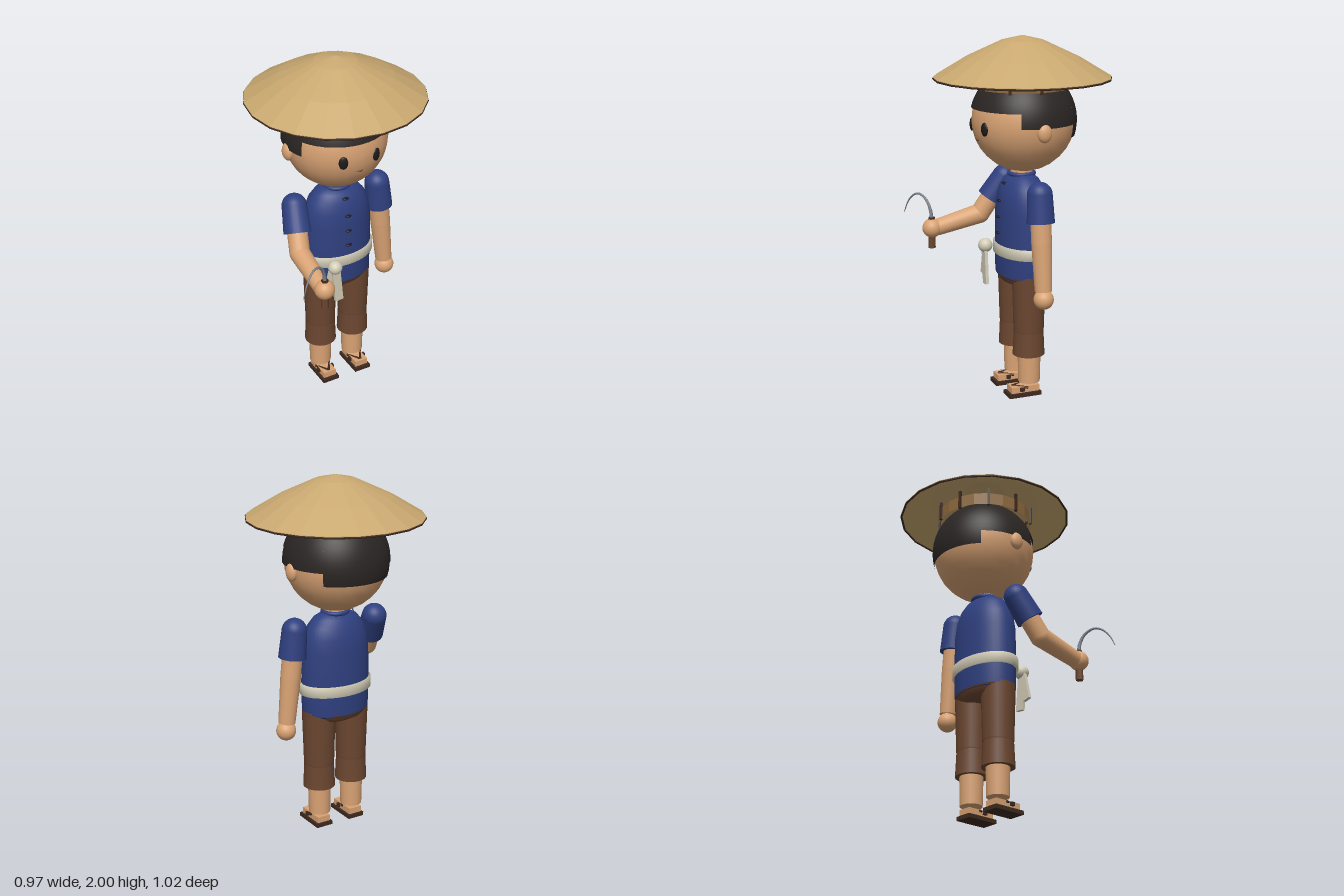
import * as THREE from 'three';

const mat = (color, extra = {}) => new THREE.MeshStandardMaterial({ color, ...extra });
const V = (x, y, z) => new THREE.Vector3(x, y, z);

const skin = mat(0xd9a374);
const hair = mat(0x2b2624, { side: THREE.DoubleSide });
const blue = mat(0x2f4080);
const brown = mat(0x6b4630);
const darkBrown = mat(0x3e2a20);
const straw = mat(0xc9a870, { flatShading: true });
const bandStraw = mat(0x8f6a3e, { flatShading: true, side: THREE.DoubleSide });
const cloth = mat(0xd2ccb6);
const black = mat(0x1c1a1a);
const steel = mat(0x7d838c);
const lipColor = mat(0x7a4636);

const CZ = -0.02; // body axis in z

export function createModel() {
  const model = new THREE.Group();
  model.name = 'farmer';

  const add = (name, geo, material, x = 0, y = 0, z = 0, parent = model) => {
    const m = new THREE.Mesh(geo, material);
    m.name = name;
    m.position.set(x, y, z);
    parent.add(m);
    return m;
  };
  const ball = (name, material, p, rx, ry = rx, rz = rx) => {
    const m = add(name, new THREE.SphereGeometry(1, 24, 16), material, p.x, p.y, p.z);
    m.scale.set(rx, ry, rz);
    return m;
  };
  const lathe = (pts, n = 32) => new THREE.LatheGeometry(pts.map(p => new THREE.Vector2(...p)), n);
  // tapered cylinder from a (radius ra) to b (radius rb)
  const limb = (name, material, a, b, ra, rb, sides = 24) => {
    const d = b.clone().sub(a);
    const mid = a.clone().lerp(b, 0.5);
    const m = add(name, new THREE.CylinderGeometry(rb, ra, d.length(), sides), material, mid.x, mid.y, mid.z);
    m.quaternion.setFromUnitVectors(V(0, 1, 0), d.normalize());
    return m;
  };

  // Hat: faceted cone with hollow underside, rim, head band and struts
  const hat = new THREE.Group();
  hat.name = 'hat';
  hat.position.z = -0.025;
  model.add(hat);
  add('hatCone', lathe([
    [0, 1.985], [0.11, 1.96], [0.31, 1.866], [0.482, 1.766],
    [0.482, 1.778], [0.31, 1.882], [0.115, 1.973], [0, 2]], 20), straw, 0, 0, 0, hat);
  add('hatRim', new THREE.TorusGeometry(0.479, 0.006, 6, 20), darkBrown, 0, 1.77, 0, hat).rotation.x = Math.PI / 2;
  add('hatBand', new THREE.CylinderGeometry(0.265, 0.265, 0.07, 20, 1, true), bandStraw, 0, 1.757, 0, hat);
  for (let i = 0; i < 10; i++) {
    const a = (i + 0.5) * Math.PI / 5;
    add('hatStrut', new THREE.BoxGeometry(0.014, 0.11, 0.014), darkBrown,
      0.268 * Math.sin(a), 1.768, 0.268 * Math.cos(a), hat).rotation.y = a;
  }

  // Head and face
  const head = V(0, 1.545, -0.03), R = 0.282;
  ball('head', skin, head, R);
  for (const s of [-1, 1]) {
    ball('ear', skin, V(s * 0.282, 1.51, -0.037), 0.028, 0.05, 0.04);
    const eye = ball('eye', black, V(s * 0.098, 1.52, 0.231), 0.025, 0.037, 0.012);
    eye.rotation.y = s * 0.36;
  }
  ball('mouth', lipColor, V(0, 1.45, 0.233), 0.018, 0.006, 0.008);

  // Hair: shell segments cut at different heights (angles measured from the front)
  const hairPart = (from, to, yCut) => {
    const r = 0.291, rad = Math.PI / 180;
    const theta = Math.acos((yCut - head.y) / r);
    add('hair', new THREE.SphereGeometry(r, 16, 16, (90 + from) * rad, (to - from) * rad, 0, theta),
      hair, head.x, head.y, head.z);
  };
  hairPart(-66, 66, 1.615);
  hairPart(66, 134, 1.535);
  hairPart(-134, -66, 1.535);
  hairPart(134, 226, 1.462);

  // Torso, collar, belt and pelvis share one oval section
  add('neck', new THREE.CylinderGeometry(0.06, 0.065, 0.12, 24), skin, 0, 1.25, CZ);
  const oval = (name, pts, material) => {
    add(name, lathe(pts, 40), material, 0, 0, CZ).scale.z = 0.68;
  };
  oval('shirt', [[0, 0.675], [0.19, 0.675], [0.2, 0.69], [0.203, 0.85], [0.2, 1.04], [0.188, 1.12],
    [0.165, 1.18], [0.13, 1.222], [0.085, 1.247], [0, 1.25]], blue);
  add('collar', new THREE.TorusGeometry(0.068, 0.012, 10, 32), blue, 0, 1.25, CZ).rotation.x = Math.PI / 2;
  oval('belt', [[0.19, 0.798], [0.216, 0.8], [0.216, 0.858], [0.19, 0.86]], cloth);
  oval('pelvis', [[0, 0.632], [0.13, 0.635], [0.165, 0.648], [0.198, 0.685], [0.19, 0.7]], brown);
  for (const [y, z] of [[1.2, 0.083], [1.105, 0.112], [1.015, 0.118], [0.925, 0.12]])
    ball('button', black, V(0, y, z), 0.019, 0.007, 0.012);

  // Belt knot and hanging ends
  ball('beltKnot', cloth, V(-0.105, 0.83, 0.155), 0.04);
  const tail = (x0, x1, y1, w, z) => {
    const dx = x1 - x0, dy = y1 - 0.82;
    add('beltEnd', new THREE.BoxGeometry(w, Math.hypot(dx, dy), 0.018), cloth,
      (x0 + x1) / 2, (0.82 + y1) / 2, z).rotation.z = Math.atan2(dx, -dy);
  };
  tail(-0.115, -0.152, 0.655, 0.046, 0.15);
  tail(-0.105, -0.085, 0.612, 0.05, 0.16);

  // Arms: round shoulder, sleeve, upper arm, elbow, forearm, hand
  const arm = (shoulder, elbow, wrist, hand) => {
    const cuff = shoulder.clone().lerp(elbow, 0.58);
    ball('shoulder', blue, shoulder, 0.069);
    limb('sleeve', blue, shoulder, cuff, 0.069, 0.076);
    limb('upperArm', skin, shoulder, elbow, 0.056, 0.056);
    ball('elbow', skin, elbow, 0.056);
    limb('forearm', skin, elbow, wrist, 0.056, 0.047);
    ball('hand', skin, hand, 0.055);
  };
  arm(V(0.258, 1.18, CZ), V(0.285, 0.92, CZ), V(0.312, 0.66, CZ), V(0.317, 0.615, CZ));
  arm(V(-0.258, 1.18, CZ), V(-0.3, 0.965, 0.115), V(-0.307, 0.905, 0.37), V(-0.305, 0.905, 0.4));

  // Sickle: hexagonal handle, ferrule and tapering hooked blade
  const hx = -0.305, hz = 0.402;
  limb('sickleHandle', brown, V(hx, 0.79, hz), V(hx, 0.955, hz), 0.022, 0.018, 6);
  limb('sickleFerrule', darkBrown, V(hx, 0.945, hz), V(hx, 0.967, hz), 0.021, 0.019, 6);
  const path = new THREE.CatmullRomCurve3(
    [[0, 0.95], [0.006, 1.0], [0.03, 1.052], [0.066, 1.082], [0.102, 1.09], [0.142, 1.073], [0.18, 1.03], [0.208, 0.97]]
      .map(([s, y]) => V(hx - 0.866 * s, y, hz + 0.5 * s)));
  const blade = new THREE.TubeGeometry(path, 28, 0.011, 8);
  const pos = blade.attributes.position, p = V(0, 0, 0);
  for (let i = 0; i < pos.count; i++) {
    const t = Math.floor(i / 9) / 28, c = path.getPointAt(t);
    p.fromBufferAttribute(pos, i).sub(c).multiplyScalar(1 - 0.8 * t).add(c);
    pos.setXYZ(i, p.x, p.y, p.z);
  }
  blade.computeVertexNormals();
  add('sickleBlade', blade, steel);

  // Legs, feet and sandals
  for (const s of [-1, 1]) {
    const x = s * 0.106;
    limb('trouserThigh', brown, V(s * 0.107, 0.7, CZ), V(x, 0.39, CZ), 0.094, 0.085);
    ball('trouserKnee', brown, V(x, 0.39, CZ), 0.085);
    limb('trouserShin', brown, V(x, 0.39, CZ), V(x, 0.24, CZ), 0.083, 0.09);
    limb('calf', skin, V(x, 0.3, CZ - 0.003), V(x, 0.078, CZ - 0.003), 0.066, 0.061);
    add('foot', new THREE.BoxGeometry(0.078, 0.035, 0.165), skin, x, 0.042, 0.012);
    add('sandalSole', new THREE.BoxGeometry(0.1, 0.022, 0.19), darkBrown, x, 0.012, 0.015);
    add('sandalStrap', new THREE.BoxGeometry(0.106, 0.02, 0.022), darkBrown, x, 0.045, 0.035);
    for (const side of [-1, 1])
      limb('sandalThong', darkBrown, V(x + side * 0.044, 0.052, 0.0), V(x, 0.06, 0.08), 0.007, 0.007, 8);
  }
  return model;
}
